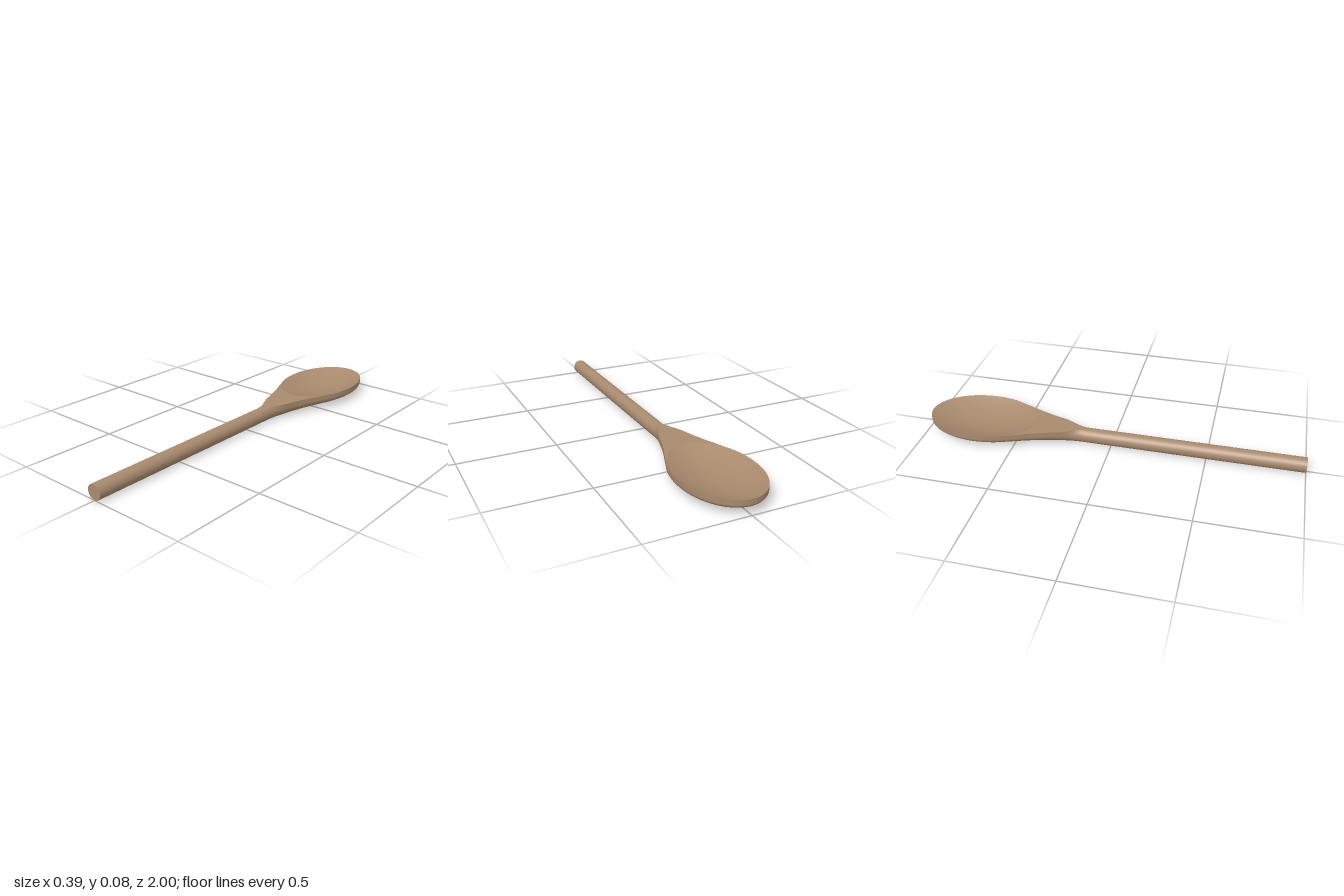
import * as THREE from 'three';

const R = 0.039, TOP = 2 * R;                      // handle radius, height of the rim
const CZ = -0.705, HW = 0.197, HL = 0.295;         // bowl centre and half axes
const DEPTH = 0.053;                               // depth of the rounded underside

// Half width of the bowl ellipse at z
const ellipse = (z) => HW * Math.sqrt(Math.max(0, 1 - ((z - CZ) / HL) ** 2));

// Stations from the handle to the tip: position, half width, depth, blend from round to flat-topped
function makeStations() {
  const taper = new THREE.SplineCurve([
    [-0.08, R], [-0.2, 0.051], [-0.3, 0.075], [-0.4, 0.108],
    [-0.5, 0.148], [-0.6, 0.185], [CZ, HW],
  ].map(([z, w]) => new THREE.Vector2(z, w)));
  const stations = [];
  for (let i = 0; i <= 36; i++) {
    const p = taper.getPoint(i / 36);
    const s = THREE.MathUtils.smoothstep(-p.x, 0.08, 0.27);
    stations.push({ z: p.x, w: Math.max(p.y, ellipse(p.x)), d: DEPTH, s });
  }
  const neckCount = stations.length;
  for (let i = 1; i <= 20; i++) {
    const a = (i / 20) * Math.PI / 2;
    stations.push({ z: CZ - HL * Math.sin(a), w: HW * Math.cos(a), d: DEPTH * Math.cos(a), s: 1 });
  }
  return { stations, neck: stations.slice(0, neckCount) };
}

// Cross-section point, t from the left rim under the spoon to the right rim
function sectionPoint({ w, d, s }, t) {
  const a = Math.PI / 2 - t * Math.PI * 2;
  const arc = THREE.MathUtils.clamp((t - 0.1) / 0.8, 0, 1) * Math.PI;
  const wall = Math.min(t, 1 - t, 0.1) / 0.1;
  const flatX = w * Math.cos(arc);
  const flatY = TOP - (TOP - DEPTH) * wall - d * Math.sin(arc);
  return [
    THREE.MathUtils.lerp(R * Math.cos(a), flatX, s),
    THREE.MathUtils.lerp(R + R * Math.sin(a), flatY, s),
  ];
}

// Skin lofted through all stations
function loftGeometry(stations, n = 40) {
  const pos = [], index = [];
  stations.forEach((st, i) => {
    for (let j = 0; j <= n; j++) {
      pos.push(...sectionPoint(st, j / n), st.z);
      if (i < stations.length - 1 && j < n) {
        const a = i * (n + 1) + j, c = a + n + 1;
        index.push(a, a + 1, c, a + 1, c + 1, c);
      }
    }
  });
  const g = new THREE.BufferGeometry();
  g.setAttribute('position', new THREE.Float32BufferAttribute(pos, 3));
  g.setIndex(index);
  g.computeVertexNormals();
  return g;
}

// Flat top of the neck, cut out by the front half of the bowl
function neckTopGeometry(neck) {
  const left = neck.map((st) => new THREE.Vector2(st.w * st.s, -st.z));
  const right = left.slice(1).map((p) => new THREE.Vector2(-p.x, p.y));
  const rim = [];
  for (let i = 1; i < 48; i++) {
    const a = (i / 48) * Math.PI;
    rim.push(new THREE.Vector2(HW * Math.cos(a), -CZ - HL * Math.sin(a)));
  }
  const g = new THREE.ShapeGeometry(new THREE.Shape([...left, ...rim, ...right.reverse()]));
  return g.rotateX(-Math.PI / 2).translate(0, TOP, 0);
}

// Shallow hollow of the bowl
function hollowGeometry() {
  const profile = [];
  for (let i = 16; i >= 0; i--) {
    const r = i / 16;
    profile.push(new THREE.Vector2(r, -0.05 * (1 - r * r)));
  }
  return new THREE.LatheGeometry(profile, 96).scale(HW, 1, HL).translate(0, TOP, CZ);
}

export function createModel() {
  const group = new THREE.Group();
  group.name = 'woodenSpoon';
  const wood = new THREE.MeshStandardMaterial({ color: 0xa88a6d });
  wood.name = 'wood';
  const add = (name, geometry) => {
    const mesh = new THREE.Mesh(geometry, wood);
    mesh.name = name;
    group.add(mesh);
  };

  const { stations, neck } = makeStations();
  add('handle', new THREE.CylinderGeometry(R, R, 1.08, 40)
    .rotateX(Math.PI / 2).translate(0, R, 0.46));
  add('neckAndUnderside', loftGeometry(stations));
  add('neckTop', neckTopGeometry(neck));
  add('bowlHollow', hollowGeometry());
  return group;
}
